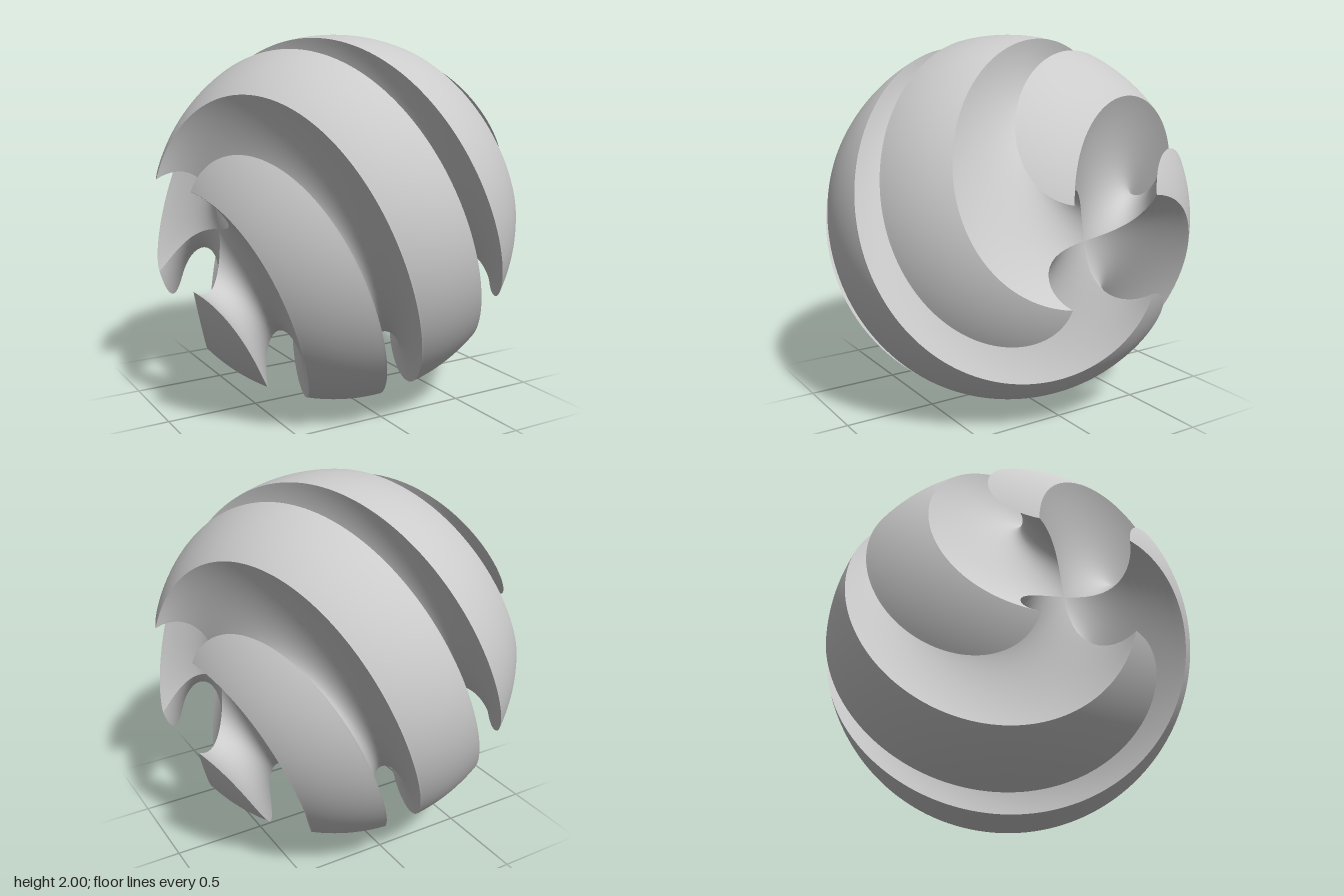
import * as THREE from 'three';
import { ParametricGeometry } from 'three/addons/geometries/ParametricGeometry.js';

const TUBE = 0.25;                          // groove radius
const CENTRE = 0.94;                        // distance of the groove's centre line from the sphere's centre
const TWIST = 2.517;                        // radians of twist per unit of x
const RIM = Math.acos((CENTRE ** 2 + TUBE ** 2 - 1) / (2 * CENTRE * TUBE)); // where a groove meets the sphere
const HALF = TUBE * Math.sin(RIM);          // half width of a groove at the sphere
const LENGTH_STEPS = 200;
const CROSS_STEPS = 28;

// Point from x, radius and angle about the x axis, with the twist applied
function place(x, r, angle, target) {
  const a = angle - Math.PI / 4 + TWIST * x;
  target.set(x, 1 + r * Math.sin(a), -r * Math.cos(a));
}

// Point on a groove floor: u runs pole to pole, v across the groove
function grooveFrame(u, v) {
  const q = (v * 2 - 1) * RIM;
  const rho = CENTRE - TUBE * Math.cos(q);
  const side = TUBE * Math.sin(q);
  const start = Math.asin(Math.min(1, Math.abs(side) / rho)); // stops at the crossing groove
  const theta = start + u * (Math.PI - 2 * start);
  return { x: rho * Math.cos(theta), out: rho * Math.sin(theta), side };
}

function surface(fn) {
  const geometry = new ParametricGeometry(fn, LENGTH_STEPS, CROSS_STEPS);
  geometry.computeVertexNormals();
  return geometry;
}

export function createModel() {
  const group = new THREE.Group();
  group.name = 'twistedGroovedSphere';
  const material = new THREE.MeshStandardMaterial({ color: 0xcccccc, side: THREE.DoubleSide });

  // Hollow channel along a great circle, twisted about x
  const groove = surface((u, v, target) => {
    const { x, out, side } = grooveFrame(u, v);
    place(x, Math.hypot(out, side), Math.atan2(side, out), target);
  });

  // Outer skin of the sphere left between two channels
  const band = surface((u, v, target) => {
    const { x } = grooveFrame(u, 1);
    const r = Math.sqrt(1 - x * x);
    const edge = Math.asin(Math.min(1, HALF / r));
    place(x, r, edge + v * (Math.PI / 2 - 2 * edge), target);
  });

  // Four of each around the x axis
  for (let i = 0; i < 4; i++) {
    for (const [name, geometry] of [['spiralGroove', groove], ['spiralBand', band]]) {
      const part = geometry.clone().translate(0, -1, 0).rotateX(i * Math.PI / 2).translate(0, 1, 0);
      const mesh = new THREE.Mesh(part, material);
      mesh.name = name + (i + 1);
      group.add(mesh);
    }
  }
  return group;
}
